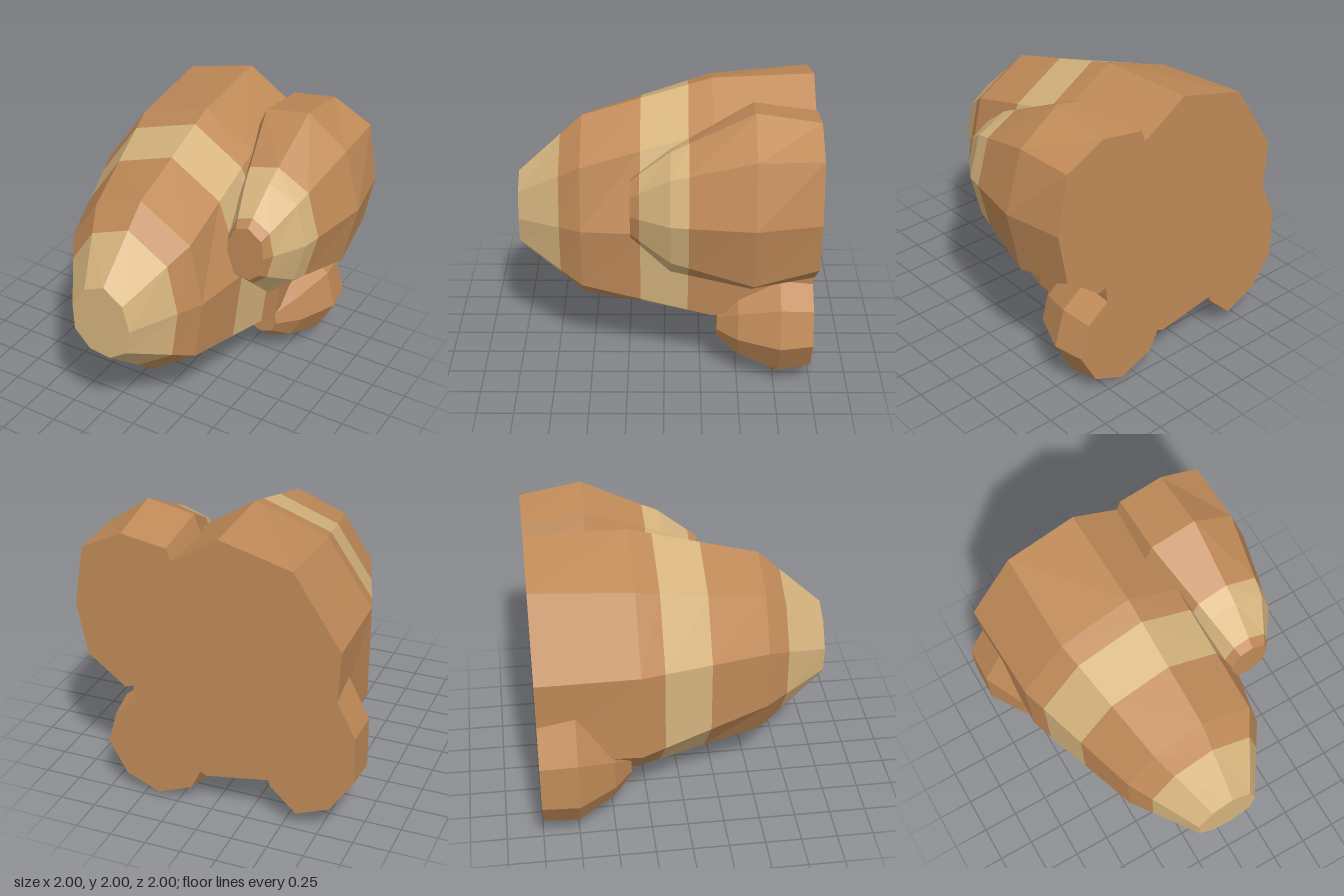
import * as THREE from 'three';

const brown = new THREE.MeshStandardMaterial({ color: 0xc08a58, flatShading: true });
brown.name = 'warm brown';
const sand = new THREE.MeshStandardMaterial({ color: 0xd6b47e, flatShading: true });
sand.name = 'pale sand';

// Depths where the colour bands begin and end
const CUTS = [0.71, 0.16, -0.16];
const isSand = (z) => z > 0.71 || (z < 0.16 && z > -0.16);

// Turn x, y pairs into a ring of points at depth z
function ring(z, xy) {
  const pts = [];
  for (let i = 0; i < xy.length; i += 2) pts.push(new THREE.Vector3(xy[i], xy[i + 1], z));
  return pts;
}

// Copy of a ring scaled about a point and moved to depth z
const scaled = (src, z, s, cx, cy) =>
  src.map((p) => new THREE.Vector3(cx + (p.x - cx) * s, cy + (p.y - cy) * s, z));

// Extra rings at the band edges, so that bands have clean borders
function withCuts(rings) {
  const out = [rings[0]];
  for (let k = 1; k < rings.length; k++) {
    const a = rings[k - 1], b = rings[k];
    for (const z of CUTS) {
      if (a[0].z > z && b[0].z < z) {
        const t = (a[0].z - z) / (a[0].z - b[0].z);
        out.push(a.map((p, i) => p.clone().lerp(b[i], t)));
      }
    }
    out.push(b);
  }
  return out;
}

// Closed faceted lobe through rings listed front to back, counterclockwise from the front
function lobe(name, source) {
  const rings = withCuts(source);
  const faces = [[], []];
  const n = rings[0].length;
  const front = rings[0], back = rings[rings.length - 1];
  const tip = faces[isSand(front[0].z) ? 1 : 0];
  for (let i = 1; i < n - 1; i++) {
    tip.push(front[0], front[i], front[i + 1]);
    faces[0].push(back[0], back[i + 1], back[i]);
  }
  for (let k = 1; k < rings.length; k++) {
    const f = rings[k - 1], b = rings[k];
    const list = faces[isSand((f[0].z + b[0].z) / 2) ? 1 : 0];
    for (let i = 0; i < n; i++) {
      const j = (i + 1) % n;
      list.push(f[i], b[i], b[j], f[i], b[j], f[j]);
    }
  }
  const geo = new THREE.BufferGeometry().setFromPoints([...faces[0], ...faces[1]]);
  geo.addGroup(0, faces[0].length, 0);
  geo.addGroup(faces[0].length, faces[1].length, 1);
  geo.computeVertexNormals();
  const mesh = new THREE.Mesh(geo, [brown, sand]);
  mesh.name = name;
  return mesh;
}

export function createModel() {
  const group = new THREE.Group();
  group.name = 'lobedCluster';

  // Large banded lobe
  group.add(lobe('mainLobe', [
    ring(1, [-0.03, 1.3, -0.18, 1.23, -0.28, 1.07, -0.27, 0.89, -0.16, 0.77, 0, 0.75, 0.13, 0.84, 0.16, 1.02, 0.11, 1.2]),
    ring(0.56, [-0.02, 1.72, -0.37, 1.58, -0.57, 1.27, -0.57, 0.84, -0.33, 0.47, 0.05, 0.38, 0.39, 0.63, 0.44, 1.07, 0.35, 1.5]),
    ring(-0.32, [-0.05, 1.98, -0.55, 1.81, -0.86, 1.36, -0.85, 0.71, -0.42, 0.28, 0.04, 0.2, 0.53, 0.48, 0.6, 1.12, 0.31, 1.75]),
    ring(-1, [-0.08, 2, -0.57, 1.87, -0.89, 1.38, -0.85, 0.74, -0.43, 0.34, 0.03, 0.26, 0.5, 0.52, 0.58, 1.12, 0.28, 1.77]),
  ]));

  // Medium lobe, upper left
  group.add(lobe('upperLobe', [
    ring(0.22, [0.58, 1.52, 0.49, 1.49, 0.43, 1.37, 0.43, 1.24, 0.49, 1.13, 0.6, 1.12, 0.67, 1.18, 0.7, 1.32, 0.68, 1.45]),
    ring(-0.04, [0.59, 1.73, 0.41, 1.67, 0.33, 1.45, 0.33, 1.15, 0.42, 0.93, 0.61, 0.87, 0.8, 1.04, 0.88, 1.34, 0.8, 1.63]),
    ring(-0.58, [0.59, 2, 0.27, 1.94, 0.14, 1.6, 0.13, 1.2, 0.3, 0.83, 0.6, 0.73, 0.9, 0.92, 1, 1.37, 0.88, 1.79]),
    ring(-1, [0.58, 1.93, 0.27, 1.88, 0.16, 1.58, 0.16, 1.22, 0.34, 0.9, 0.6, 0.82, 0.86, 1.02, 0.93, 1.38, 0.86, 1.79]),
  ]));

  // Small lobe, lower left
  const low = ring(-0.78, [0.5, 0.79, 0.22, 0.77, 0.06, 0.6, 0, 0.34, 0.11, 0.11, 0.38, 0, 0.64, 0.11, 0.78, 0.36, 0.71, 0.62]);
  group.add(lobe('lowerLobe', [
    scaled(low, -0.36, 0.31, 0.41, 0.36),
    scaled(low, -0.5, 0.67, 0.42, 0.37),
    low,
    scaled(low, -1, 0.9, 0.42, 0.42),
  ]));

  // Small lobe, lower right
  const side = ring(-0.75, [-0.6, 1.1, -0.85, 1.1, -1, 0.8, -1, 0.45, -0.83, 0.2, -0.59, 0.1, -0.4, 0.28, -0.32, 0.6, -0.4, 0.9]);
  group.add(lobe('sideLobe', [
    scaled(side, -0.38, 0.28, -0.58, 0.48),
    scaled(side, -0.5, 0.62, -0.6, 0.5),
    side,
    scaled(side, -1, 0.95, -0.85, 0.55),
  ]));

  return group;
}
